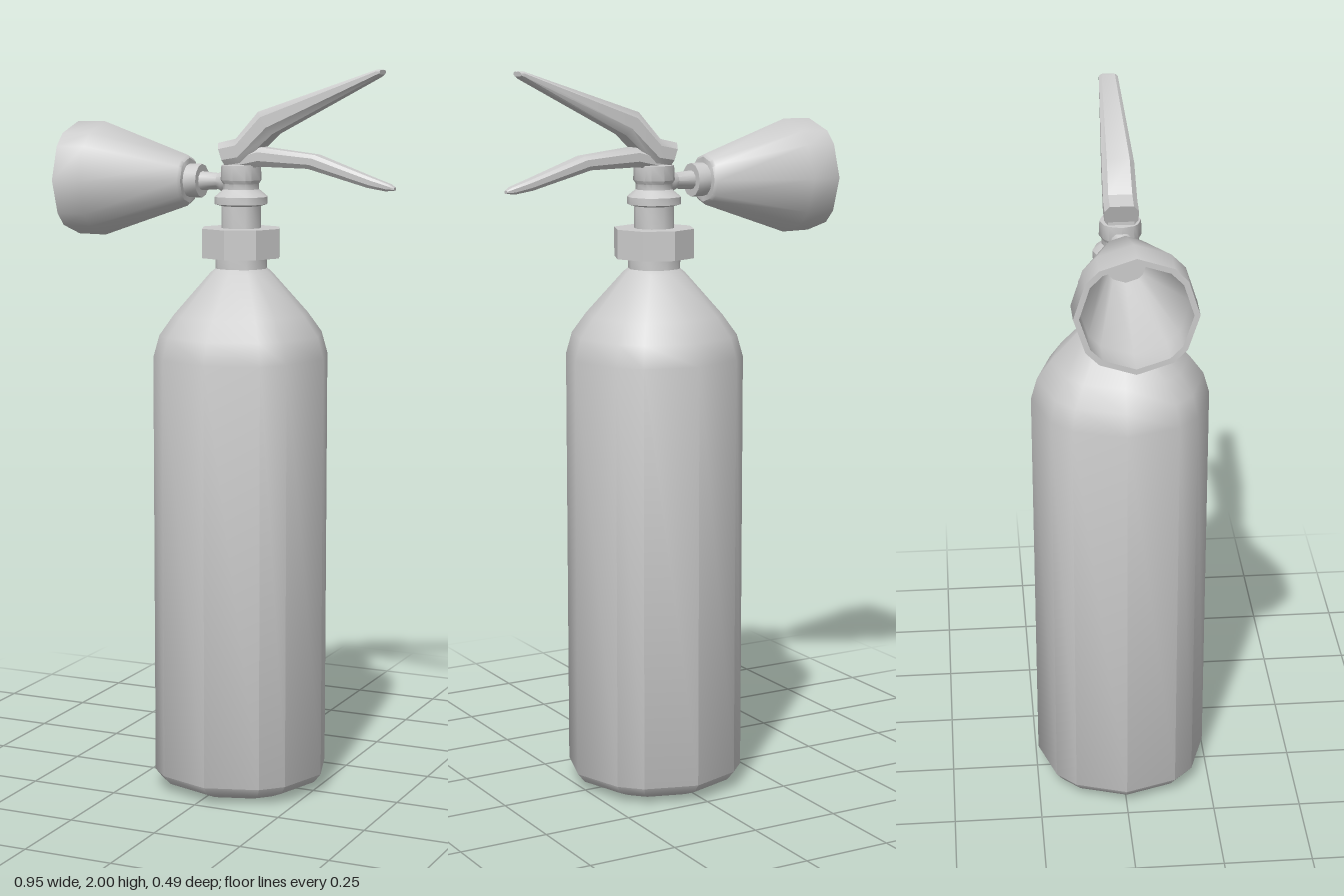
import * as THREE from 'three';
import { toCreasedNormals } from 'three/addons/utils/BufferGeometryUtils.js';

const AXIS_X = 0.027;
const material = new THREE.MeshStandardMaterial({ color: 0xcccccc });

function part(name, geometry, crease) {
  const mesh = new THREE.Mesh(toCreasedNormals(geometry, THREE.MathUtils.degToRad(crease)), material);
  mesh.name = name;
  return mesh;
}

// Turned shape from [radius, height] pairs. With uneven set, the 12 sides
// are respaced to 36, 18 and 36 degrees per quarter.
function turned(profile, sides, uneven = false) {
  const geometry = new THREE.LatheGeometry(profile.map(([r, y]) => new THREE.Vector2(r, y)), sides);
  if (!uneven) return geometry;
  const pos = geometry.attributes.position;
  const offsets = [0, 36, 54];
  const rows = profile.length;
  for (let i = 0; i < pos.count; i++) {
    const column = Math.floor(i / rows) % 12;
    const r = profile[i % rows][0];
    const angle = THREE.MathUtils.degToRad(Math.floor(column / 3) * 90 + offsets[column % 3]);
    pos.setX(i, r * Math.sin(angle));
    pos.setZ(i, r * Math.cos(angle));
  }
  return geometry;
}

// Chamfered bar through stations [topX, topY, bottomX, bottomY, halfWidth]
function lever(stations) {
  const positions = [];
  const index = [];
  // Section corners: share of the way from bottom to top, share of the width
  const section = [[0, -0.7], [0, 0.7], [0.3, 1], [0.75, 1], [1, 0.7], [1, -0.7], [0.75, -1], [0.3, -1]];
  const n = section.length;
  for (const [tx, ty, bx, by, w] of stations) {
    for (const [t, s] of section) positions.push(bx + (tx - bx) * t, by + (ty - by) * t, w * s);
  }
  const last = (stations.length - 1) * n;
  for (let k = 0; k < last; k += n) {
    for (let i = 0; i < n; i++) {
      const a = k + i;
      const b = k + ((i + 1) % n);
      index.push(a, a + n, b, b, a + n, b + n);
    }
  }
  for (let i = 1; i < n - 1; i++) {
    index.push(0, i, i + 1);
    index.push(last, last + i + 1, last + i);
  }
  const geometry = new THREE.BufferGeometry();
  geometry.setAttribute('position', new THREE.Float32BufferAttribute(positions, 3));
  geometry.setIndex(index);
  // Section runs -z to +z along the bottom; flip the winding to face outwards
  for (let i = 0; i < index.length; i += 3) {
    geometry.index.setX(i + 1, index[i + 2]);
    geometry.index.setX(i + 2, index[i + 1]);
  }
  return orient(geometry);
}

// Makes the faces of a closed geometry point outwards by its signed volume
function orient(geometry) {
  const pos = geometry.attributes.position;
  const idx = geometry.index;
  const [a, b, c] = [0, 1, 2].map(() => new THREE.Vector3());
  let volume = 0;
  for (let i = 0; i < idx.count; i += 3) {
    a.fromBufferAttribute(pos, idx.getX(i));
    b.fromBufferAttribute(pos, idx.getX(i + 1));
    c.fromBufferAttribute(pos, idx.getX(i + 2));
    volume += a.dot(b.cross(c));
  }
  if (volume < 0) {
    for (let i = 0; i < idx.count; i += 3) {
      const t = idx.getX(i + 1);
      idx.setX(i + 1, idx.getX(i + 2));
      idx.setX(i + 2, t);
    }
  }
  return geometry;
}

export function createModel() {
  const model = new THREE.Group();
  model.name = 'fireExtinguisher';

  // Tank with rounded shoulder and short neck
  const tank = part('tank', turned([
    [0, 0], [0.175, 0.003], [0.225, 0.025], [0.245, 0.05], [0.245, 1.22],
    [0.228, 1.28], [0.188, 1.335], [0.085, 1.45], [0.072, 1.46], [0.072, 1.5],
  ], 12, true), 42);

  // Collar nut
  const collar = part('collar', turned([
    [0, 1.49], [0.113, 1.49], [0.113, 1.57], [0, 1.57],
  ], 8), 20);

  // Valve stem with a raised ring
  const valve = part('valve', turned([
    [0.055, 1.56], [0.055, 1.63], [0.074, 1.635], [0.074, 1.655], [0.05, 1.675],
    [0.05, 1.69], [0.057, 1.7], [0.055, 1.74], [0, 1.745],
  ], 12, true), 42);

  for (const mesh of [tank, collar, valve]) {
    mesh.position.x = AXIS_X;
    model.add(mesh);
  }

  // Hose connector and hollow horn, turned about the sideways axis
  const nozzle = new THREE.Group();
  nozzle.name = 'nozzle';
  nozzle.position.y = 1.695;
  nozzle.rotation.z = Math.PI / 2;
  nozzle.add(part('connector', turned([
    [0, -0.02], [0.03, -0.02], [0.03, 0.025], [0.022, 0.04], [0.026, 0.09],
    [0.046, 0.09], [0.046, 0.135],
  ], 12), 42));
  nozzle.add(part('horn', turned([
    [0, 0.128], [0.062, 0.128], [0.07, 0.135], [0.158, 0.39], [0.157, 0.473],
    [0.142, 0.473], [0.142, 0.39], [0.055, 0.15], [0, 0.15],
  ], 12, true), 42));
  model.add(nozzle);

  // Squeeze lever, rising
  model.add(part('upperLever', lever([
    [-0.027, 1.80, -0.005, 1.735, 0.045],
    [0.025, 1.812, 0.04, 1.742, 0.045],
    [0.09, 1.885, 0.13, 1.825, 0.043],
    [0.425, 1.998, 0.425, 1.978, 0.026],
    [0.435, 1.997, 0.435, 1.985, 0.022],
  ]), 30));

  // Carrying handle, drooping
  model.add(part('lowerLever', lever([
    [-0.01, 1.76, -0.01, 1.72, 0.035],
    [0.09, 1.79, 0.09, 1.738, 0.035],
    [0.25, 1.772, 0.23, 1.735, 0.028],
    [0.41, 1.715, 0.4, 1.688, 0.019],
    [0.46, 1.698, 0.45, 1.68, 0.015],
    [0.473, 1.69, 0.473, 1.682, 0.008],
  ]), 30));

  return model;
}
